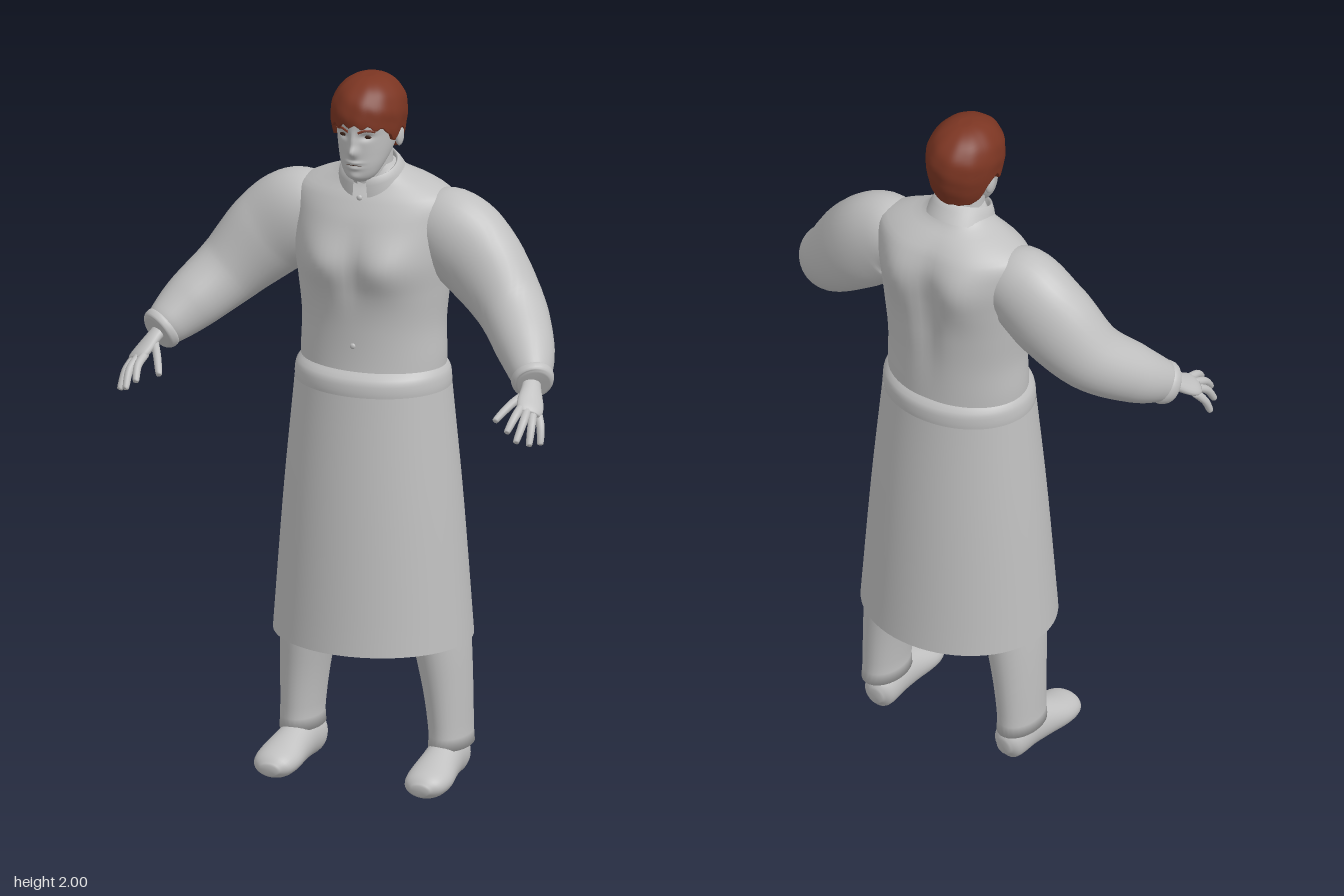
import * as THREE from 'three';

const V = (x, y, z) => new THREE.Vector3(x, y, z);
const material = (name, color, side = THREE.FrontSide) => {
  const m = new THREE.MeshStandardMaterial({ color, side });
  m.name = name;
  return m;
};

// Smooth lookup in rows of [parameter, value, value, ...]
function at(keys, t) {
  const last = keys.length - 1;
  t = Math.min(Math.max(t, keys[0][0]), keys[last][0]);
  let i = 0;
  while (i < last - 1 && t > keys[i + 1][0]) i++;
  const h = keys[i + 1][0] - keys[i][0], s = (t - keys[i][0]) / h;
  const slope = (k, c) => {
    const a = keys[Math.max(k - 1, 0)], b = keys[Math.min(k + 1, last)];
    return (b[c] - a[c]) / (b[0] - a[0]);
  };
  return keys[i].slice(1).map((p, n) => {
    const c = n + 1, q = keys[i + 1][c];
    return p + (q - p) * s * s * (3 - 2 * s)
      + h * s * (1 - s) * ((1 - s) * slope(i, c) - s * slope(i + 1, c));
  });
}

// Closed rings of points(u, angle) joined into a skin, with optional end caps
function loft(point, rows, cols, caps = true) {
  const pos = [], idx = [];
  for (let i = 0; i <= rows; i++) {
    for (let j = 0; j < cols; j++) pos.push(...point(i / rows, j / cols * Math.PI * 2).toArray());
  }
  for (let i = 0; i < rows; i++) for (let j = 0; j < cols; j++) {
    const a = i * cols + j, b = i * cols + (j + 1) % cols;
    idx.push(a, b, b + cols, a, b + cols, a + cols);
  }
  if (caps) for (const row of [0, rows]) {
    const mid = V(0, 0, 0), centre = pos.length / 3;
    for (let j = 0; j < cols; j++) mid.add(V().fromArray(pos, (row * cols + j) * 3));
    pos.push(...mid.divideScalar(cols).toArray());
    for (let j = 0; j < cols; j++) {
      const a = row * cols + j, b = row * cols + (j + 1) % cols;
      idx.push(centre, row ? a : b, row ? b : a);
    }
  }
  const g = new THREE.BufferGeometry();
  g.setAttribute('position', new THREE.Float32BufferAttribute(pos, 3));
  g.setIndex(idx);
  g.computeVertexNormals();
  return g;
}

// Upright body: rows of [y, x, z, radius x, radius z], with an optional surface rule
function upright(keys, rows, cols, shape, caps = true) {
  const y0 = keys[0][0], y1 = keys[keys.length - 1][0];
  return loft((u, a) => {
    const y = y0 + (y1 - y0) * u, [x, z, rx, rz] = at(keys, y);
    const p = V(x + rx * Math.sin(a), y, z + rz * Math.cos(a));
    return shape ? shape(p, a) : p;
  }, rows, cols, caps);
}

// Limb along a path: rows of [x, y, z, radius towards ref, radius across]
function limb(rowsIn, ref, rows = 24, cols = 24) {
  const keys = rowsIn.map((r, i) => [i, ...r]), end = keys.length - 1;
  return loft((u, a) => {
    const t = u * end, [x, y, z, r1, r2] = at(keys, t);
    const T = V(...at(keys, t + 0.05).slice(0, 3)).sub(V(...at(keys, t - 0.05).slice(0, 3))).normalize();
    const N = ref.clone().addScaledVector(T, -ref.dot(T)).normalize(), B = T.clone().cross(N);
    return V(x, y, z).addScaledVector(N, r1 * Math.cos(a)).addScaledVector(B, r2 * Math.sin(a));
  }, rows, cols);
}

function mirrored(geometry) {
  const g = geometry.clone().scale(-1, 1, 1), id = g.index.array;
  for (let i = 0; i < id.length; i += 3) [id[i], id[i + 1]] = [id[i + 1], id[i]];
  return g;
}

const bump = (x, y, x0, y0, sx, sy) => Math.exp(-(((x - x0) / sx) ** 2) - ((y - y0) / sy) ** 2);

const HEAD = [
  [1.715, 0, 0.03, 0.018, 0.02], [1.73, 0, 0.027, 0.04, 0.042], [1.76, 0, 0.013, 0.058, 0.065],
  [1.8, 0, -0.01, 0.072, 0.09], [1.85, 0, -0.03, 0.082, 0.113], [1.9, 0, -0.03, 0.085, 0.117],
  [1.95, 0, -0.03, 0.075, 0.1], [1.985, 0, -0.03, 0.035, 0.05],
];
// Nose, lips, brow ridge and eye sockets as relief on the face
const relief = (x, y) => 0.02 * bump(x, y, 0, 1.81, 0.013, 0.016) + 0.011 * bump(x, y, 0, 1.84, 0.01, 0.026)
  + 0.006 * bump(x, y, 0, 1.778, 0.022, 0.005) + 0.005 * bump(x, y, 0, 1.762, 0.02, 0.006)
  + 0.006 * bump(x, y, 0, 1.735, 0.02, 0.012) - 0.009 * bump(Math.abs(x), y, 0.033, 1.852, 0.017, 0.01);
const faceZ = (x, y) => {
  const [, z, rx, rz] = at(HEAD, y);
  return z + rz * Math.sqrt(1 - (x / rx) ** 2) + relief(x, y);
};

export function createModel() {
  const model = new THREE.Group();
  const grey = material('grey', 0xc0c0c0);
  const cloth = material('greyCloth', 0xbfbfbf, THREE.DoubleSide);
  const hairRed = material('hairRed', 0x7b3522, THREE.DoubleSide);
  const dark = material('eyeDark', 0x3a2218);
  const add = (name, geometry, mat = grey) => {
    const mesh = new THREE.Mesh(geometry, mat);
    mesh.name = name;
    model.add(mesh);
  };
  const pair = (name, geometry, mat) => {
    add('left' + name, geometry, mat);
    add('right' + name, mirrored(geometry), mat);
  };
  const blob = (x, y, z, sx, sy, sz) => new THREE.SphereGeometry(1, 20, 14).scale(sx, sy, sz).translate(x, y, z);

  // Torso with chest, shoulder blades and spine groove
  add('torso', upright([
    [1.1, 0, -0.06, 0.2, 0.16], [1.2, 0, -0.065, 0.205, 0.153], [1.3, 0, -0.067, 0.203, 0.152],
    [1.4, 0, -0.067, 0.213, 0.158], [1.5, 0, -0.067, 0.225, 0.163], [1.6, 0, -0.08, 0.232, 0.15],
    [1.66, 0, -0.085, 0.222, 0.125], [1.695, 0, -0.082, 0.16, 0.098], [1.72, 0, -0.07, 0.1, 0.078],
    [1.75, 0, -0.06, 0.07, 0.065],
  ], 60, 64, (p, a) => {
    const x = Math.abs(p.x), c = Math.cos(a);
    if (c > 0) p.z += c * (0.03 * bump(x, p.y, 0.1, 1.48, 0.075, 0.075) - 0.008 * bump(x, p.y, 0, 1.47, 0.03, 0.09));
    else p.z += c * (0.03 * bump(x, p.y, 0.11, 1.57, 0.07, 0.1) - 0.016 * bump(x, p.y, 0, 1.45, 0.035, 0.16));
    return p;
  }));

  // Long open skirt of the apron with its waistband
  add('apronSkirt', upright([
    [0.4, 0, -0.06, 0.277, 0.245], [0.8, 0, -0.06, 0.248, 0.212], [1.12, 0, -0.06, 0.219, 0.179],
  ], 8, 64, null, false), cloth);
  add('waistband', upright([
    [1.115, 0, -0.06, 0.218, 0.177], [1.135, 0, -0.06, 0.219, 0.178],
    [1.165, 0, -0.061, 0.214, 0.172], [1.185, 0, -0.063, 0.2, 0.15],
  ], 8, 64, null, false), cloth);

  // Sleeves and cuffs
  const up = V(0, 1, 0);
  pair('Sleeve', limb([
    [0.14, 1.575, -0.085, 0.085, 0.085], [0.22, 1.562, -0.08, 0.124, 0.1], [0.31, 1.49, -0.075, 0.125, 0.102],
    [0.41, 1.385, -0.04, 0.1, 0.095], [0.49, 1.305, 0.045, 0.083, 0.08],
    [0.533, 1.258, 0.107, 0.064, 0.06], [0.548, 1.242, 0.128, 0.05, 0.046],
  ], up, 42, 32));
  pair('Cuff', limb([
    [0.537, 1.253, 0.113, 0.056, 0.053], [0.542, 1.248, 0.12, 0.062, 0.059],
    [0.551, 1.239, 0.133, 0.058, 0.055], [0.554, 1.236, 0.138, 0.046, 0.043],
  ], up, 9, 28));

  // Hands: flat palm, four fingers and a thumb
  const across = V(-0.75, 0.3, 0.5);
  pair('Palm', limb([
    [0.54, 1.25, 0.12, 0.024, 0.02], [0.554, 1.23, 0.155, 0.028, 0.018], [0.566, 1.207, 0.19, 0.037, 0.017],
    [0.575, 1.192, 0.215, 0.037, 0.015], [0.58, 1.184, 0.23, 0.027, 0.01],
  ], across, 16, 20));
  const digits = {
    IndexFinger: [[0.553, 1.2, 0.22], [0.553, 1.184, 0.27], [0.545, 1.153, 0.303]],
    MiddleFinger: [[0.57, 1.194, 0.22], [0.577, 1.17, 0.27], [0.573, 1.13, 0.306]],
    RingFinger: [[0.583, 1.186, 0.212], [0.595, 1.16, 0.252], [0.6, 1.117, 0.28]],
    LittleFinger: [[0.592, 1.18, 0.2], [0.609, 1.147, 0.222], [0.615, 1.108, 0.238]],
    Thumb: [[0.55, 1.224, 0.165], [0.52, 1.2, 0.215], [0.495, 1.167, 0.262]],
  };
  for (const [name, [a, b, c]] of Object.entries(digits)) {
    const tip = c.map((v, i) => v + (c[i] - b[i]) * 0.1);
    pair(name, limb([[...a, 0.012, 0.012], [...b, 0.0115, 0.011], [...c, 0.009, 0.009], [...tip, 0.003, 0.003]], across, 12, 12));
  }

  // Trouser legs and shoes
  pair('TrouserLeg', upright([
    [0.095, 0.218, -0.085, 0.058, 0.09], [0.13, 0.218, -0.085, 0.056, 0.087], [0.25, 0.21, -0.083, 0.063, 0.092],
    [0.4, 0.193, -0.078, 0.076, 0.103], [0.75, 0.15, -0.07, 0.095, 0.115], [1.1, 0.105, -0.065, 0.095, 0.13],
  ], 30, 28));
  const shoe = limb([
    [0.207, 0.05, -0.163, 0.025, 0.02], [0.209, 0.055, -0.135, 0.056, 0.044], [0.213, 0.06, -0.06, 0.061, 0.05],
    [0.217, 0.052, 0, 0.055, 0.055], [0.221, 0.04, 0.07, 0.044, 0.063],
    [0.221, 0.033, 0.12, 0.035, 0.054], [0.221, 0.028, 0.148, 0.016, 0.026],
  ], up, 30, 32);
  const sp = shoe.attributes.position;
  for (let i = 0; i < sp.count; i++) sp.setY(i, Math.max(sp.getY(i), 0));
  shoe.computeVertexNormals();
  pair('Shoe', shoe);

  // Neck, head and ears
  add('neck', upright([[1.66, 0, -0.055, 0.068, 0.068], [1.74, 0, -0.045, 0.06, 0.062], [1.82, 0, -0.035, 0.06, 0.062]], 8, 28));
  add('head', upright(HEAD, 90, 96, (p, a) => {
    if (Math.cos(a) > 0) p.z += relief(p.x, p.y);
    return p;
  }));
  pair('Ear', blob(0.085, 1.833, -0.04, 0.011, 0.031, 0.019).rotateX(0));

  // Eyes, eyebrows and mouth line follow the face
  pair('Eye', blob(0.033, 1.852, faceZ(0.033, 1.852), 0.0135, 0.0055, 0.004), dark);
  const strip = (points, r) => new THREE.TubeGeometry(
    new THREE.CatmullRomCurve3(points.map(([x, y]) => V(x, y, faceZ(x, y)))), 14, r, 6);
  pair('Eyebrow', strip([[0.014, 1.866], [0.034, 1.873], [0.054, 1.867]], 0.0038), hairRed);
  add('mouthLine', strip([[-0.022, 1.77], [0, 1.771], [0.022, 1.77]], 0.0012), dark);

  // Hair cap: hairline height depends on direction (1 = front, -1 = back)
  const hairline = [[-1, 1.788], [-0.5, 1.79], [-0.2, 1.845], [0.08, 1.858], [0.3, 1.828], [0.5, 1.862], [0.75, 1.876], [1, 1.885]];
  add('hair', loft((u, a) => {
    const c = Math.cos(a), low = at(hairline, c)[0] + 0.006 * Math.sin(a * 17) * (c > 0.4 ? 1 : 0.3);
    const v = Math.max((u - 0.06) / 0.94, 0);
    const y = low + (1.999 - low) * Math.sin(v * Math.PI / 2);
    const t = (y - 1.9) / 0.1;
    let r = t > 0 ? Math.pow(Math.max(1 - t * t, 0), 0.45) : 1 - 0.17 * t * t;
    r *= 1 + 0.015 * Math.sin(a * 7 + y * 50) * Math.cos(a * 3 - y * 70);
    if (u < 0.03) r *= 0.86;
    return V(0.1 * r * Math.sin(a), y, -0.03 + 0.126 * r * c);
  }, 26, 72), hairRed);

  // Shirt collar, open at the throat and tipped forward, with two buttons
  const collar = new THREE.LatheGeometry(
    [[0.068, 0.0], [0.071, 0.035], [0.077, 0.04], [0.087, 0.02], [0.098, -0.012]].map(([x, y]) => new THREE.Vector2(x, y)),
    40, 0.22, Math.PI * 2 - 0.44);
  add('collar', collar.rotateX(0.36).translate(0, 1.712, -0.05), cloth);
  add('collarButton', blob(0, 1.665, 0.038, 0.008, 0.008, 0.006));
  add('waistButton', blob(0, 1.255, 0.086, 0.008, 0.008, 0.005));
  return model;
}
